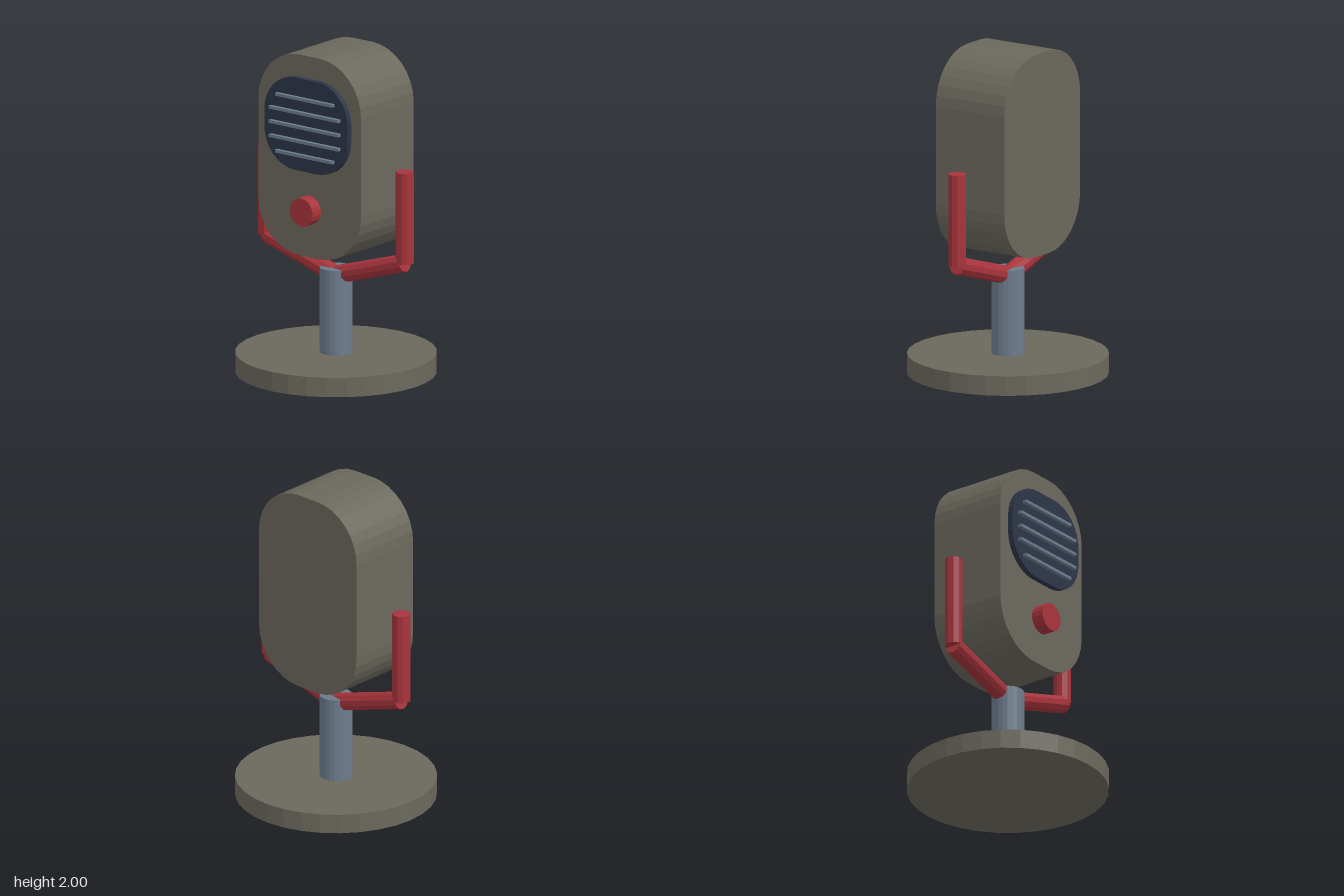
import * as THREE from 'three';

const material = (name, color) => {
  const m = new THREE.MeshStandardMaterial({ color, flatShading: true });
  m.name = name;
  return m;
};

// Rounded rectangle centred on the origin
function roundedShape(halfW, halfH, r) {
  const s = new THREE.Shape();
  const x = halfW - r, y = halfH - r, q = Math.PI / 2;
  s.moveTo(halfW, -y);
  s.lineTo(halfW, y);
  s.absarc(x, y, r, 0, q, false);
  s.lineTo(-x, halfH);
  s.absarc(-x, y, r, q, 2 * q, false);
  s.lineTo(-halfW, -y);
  s.absarc(-x, -y, r, 2 * q, 3 * q, false);
  s.lineTo(x, -halfH);
  s.absarc(x, -y, r, 3 * q, 4 * q, false);
  return s;
}

export function createModel() {
  const group = new THREE.Group();
  group.name = 'deskMicrophone';
  const shell = material('warm grey', 0x6b685d);
  const navy = material('navy', 0x2d3548);
  const steel = material('steel blue', 0x6c7c8c);
  const red = material('red', 0xa8343c);

  const add = (name, geometry, mat, x = 0, y = 0, z = 0) => {
    const mesh = new THREE.Mesh(geometry, mat);
    mesh.name = name;
    mesh.position.set(x, y, z);
    group.add(mesh);
    return mesh;
  };
  const slab = (halfW, halfH, r, depth) => new THREE.ExtrudeGeometry(
    roundedShape(halfW, halfH, r), { depth, bevelEnabled: false, curveSegments: 4 });

  // Round foot and stem
  add('base', new THREE.CylinderGeometry(0.605, 0.605, 0.12, 32), shell, 0, 0.06, 0);
  add('stem', new THREE.CylinderGeometry(0.098, 0.098, 0.525, 20), steel, 0, 0.3825, 0);

  // Head with raised grille
  add('head', slab(0.396, 0.6225, 0.32, 0.5), shell, 0, 1.3775, -0.25);
  add('grille', slab(0.321, 0.286, 0.235, 0.045), navy, 0, 1.577, 0.24);
  [0.22, 0.268, 0.268, 0.268, 0.22].forEach((halfW, i) => {
    add('grilleBar', new THREE.BoxGeometry(halfW * 2, 0.018, 0.04), steel, 0, 1.742 - i * 0.088, 0.29);
  });

  // Front knob
  const knob = new THREE.CylinderGeometry(0.088, 0.088, 0.09, 18).rotateX(Math.PI / 2);
  add('knob', knob, red, 0, 1.05, 0.285);

  // Fork: sloping arm and upright on each side
  const rod = (name, a, b) => {
    const dir = b.clone().sub(a);
    const geometry = new THREE.CylinderGeometry(0.055, 0.055, dir.length(), 10).rotateY(Math.PI / 2);
    const mesh = add(name, geometry, red);
    mesh.position.copy(a).add(b).multiplyScalar(0.5);
    mesh.quaternion.setFromUnitVectors(new THREE.Vector3(0, 1, 0), dir.normalize());
  };
  for (const [side, s] of [['left', 1], ['right', -1]]) {
    const elbow = new THREE.Vector3(s * 0.53, 0.76, 0);
    rod(side + 'ForkArm', new THREE.Vector3(0, 0.597, 0), elbow);
    rod(side + 'ForkUpright', elbow, new THREE.Vector3(s * 0.53, 1.325, 0));
  }
  return group;
}
